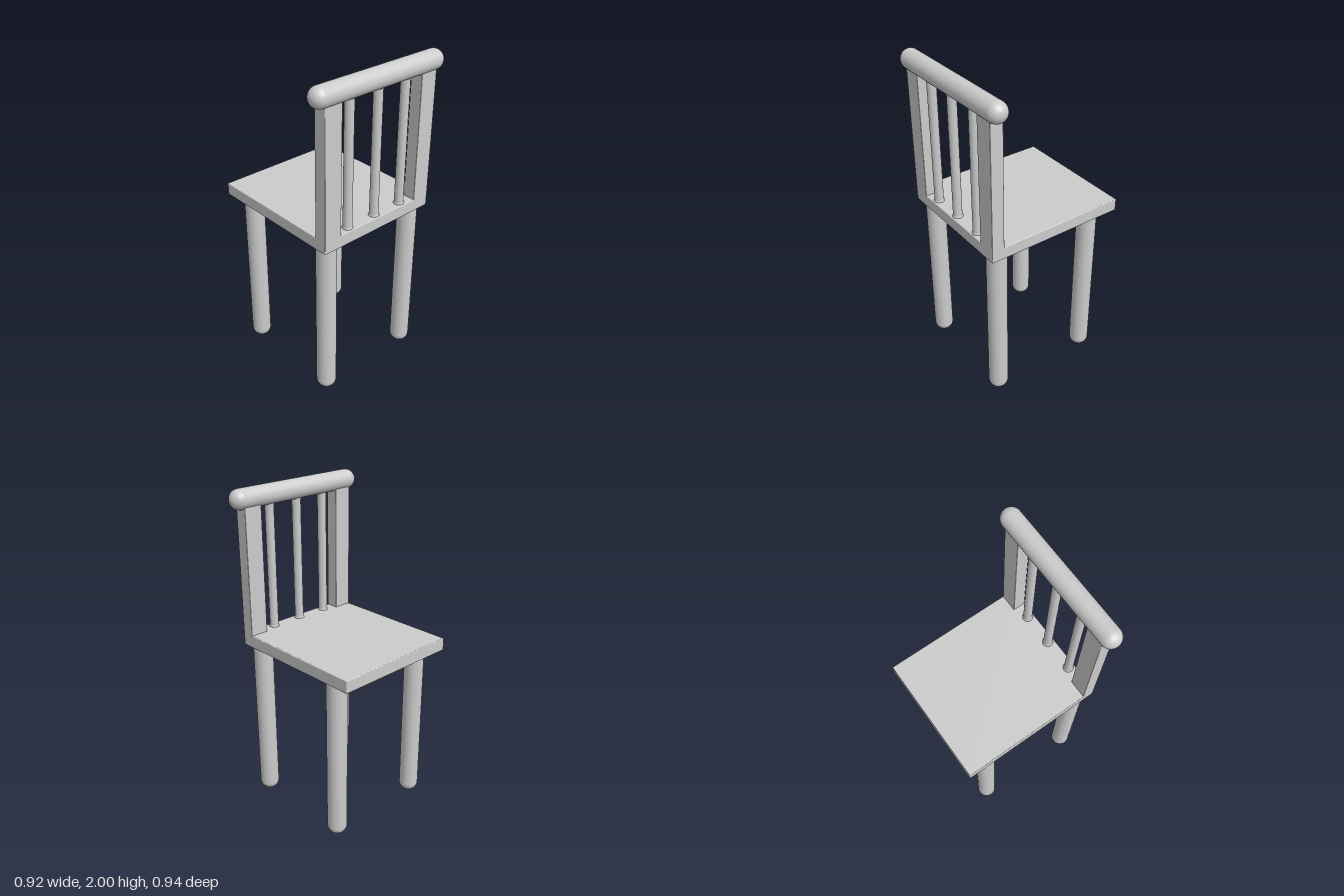
import * as THREE from 'three';
import { RoundedBoxGeometry } from 'three/addons/geometries/RoundedBoxGeometry.js';

const material = new THREE.MeshStandardMaterial({ color: 0xcccccc });

export function createModel() {
  const chair = new THREE.Group();
  chair.name = 'chair';

  function add(name, geometry, x, y, z) {
    const mesh = new THREE.Mesh(geometry, material);
    mesh.name = name;
    mesh.position.set(x, y, z);
    chair.add(mesh);
    return mesh;
  }

  // Seat slab with finely softened edges
  add('seat', new RoundedBoxGeometry(0.895, 0.077, 0.81, 2, 0.005), -0.0125, 1.083, 0);

  // Round legs: domed foot, flat top under the seat
  const legProfile = [new THREE.Vector2(0, 0)];
  for (let i = 1; i <= 10; i++) {
    const a = (i / 10) * Math.PI / 2;
    legProfile.push(new THREE.Vector2(0.06 * Math.sin(a), 0.06 * (1 - Math.cos(a))));
  }
  legProfile.push(new THREE.Vector2(0.06, 1.06));
  const legGeometry = new THREE.LatheGeometry(legProfile, 32);
  for (const [end, x] of [['front', -0.3], ['back', 0.355]]) {
    for (const side of [-1, 1]) {
      add(end + (side > 0 ? 'LeftLeg' : 'RightLeg'), legGeometry, x, 0, side * 0.326);
    }
  }

  // Square backrest posts
  const postGeometry = new RoundedBoxGeometry(0.08, 0.835, 0.116, 2, 0.004);
  for (const side of [-1, 1]) {
    add(side > 0 ? 'leftPost' : 'rightPost', postGeometry, 0.395, 1.4825, side * 0.347);
  }

  // Slim spindles, slightly flared where they meet seat and rail
  const spindleProfile = [
    [0.032, 1.1], [0.032, 1.122], [0.029, 1.127], [0.027, 1.135],
    [0.027, 1.872], [0.029, 1.88], [0.03, 1.9],
  ].map(([r, y]) => new THREE.Vector2(r, y));
  const spindleGeometry = new THREE.LatheGeometry(spindleProfile, 24);
  for (const z of [-0.202, 0.002, 0.206]) {
    add('spindle', spindleGeometry, 0.395, 0, z);
  }

  // Round-ended top rail
  const rail = add('topRail', new THREE.CapsuleGeometry(0.06, 0.816, 12, 32), 0.398, 1.94, 0);
  rail.rotation.x = Math.PI / 2;

  return chair;
}
